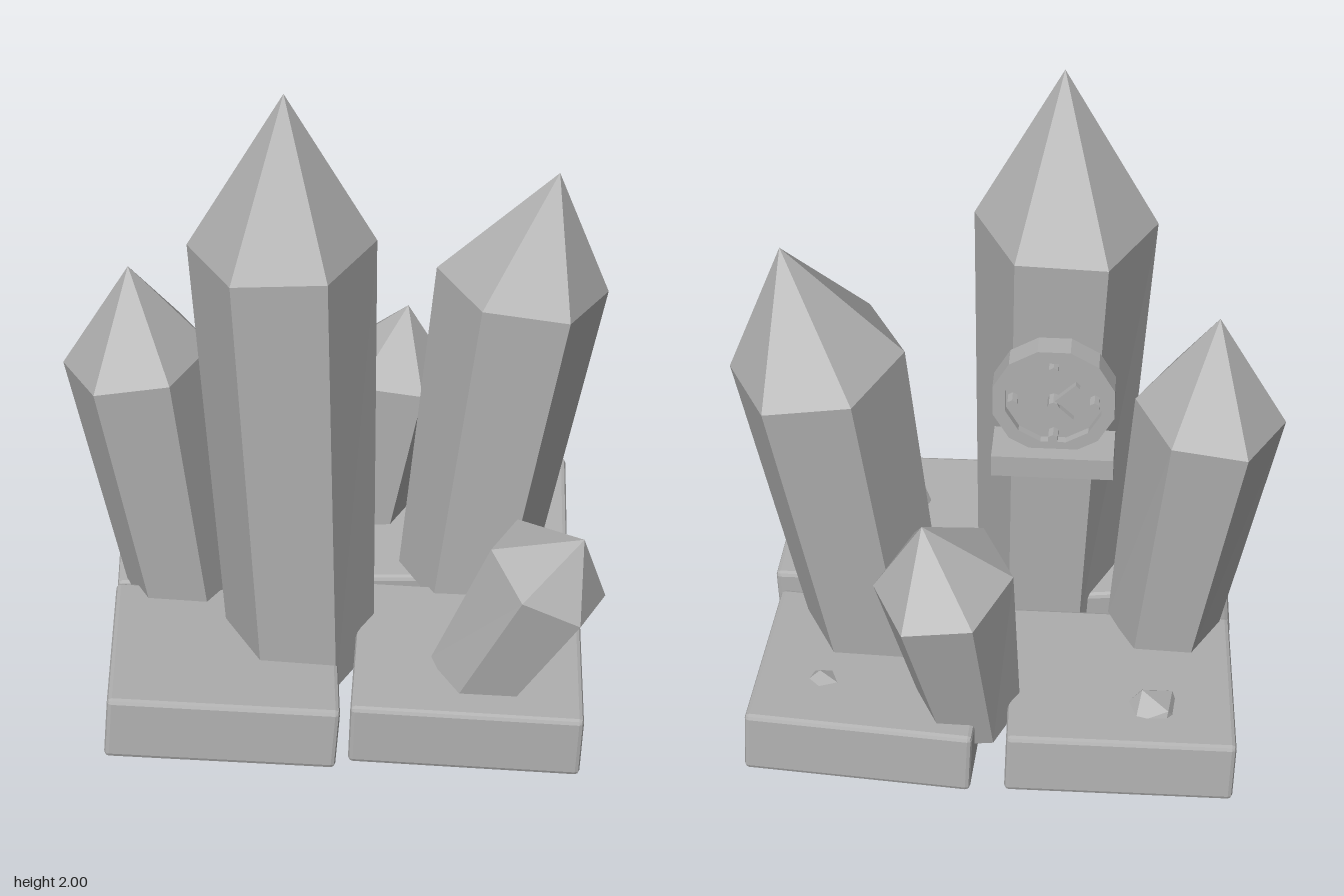
import * as THREE from 'three';
import { RoundedBoxGeometry } from 'three/addons/geometries/RoundedBoxGeometry.js';

const stone = new THREE.MeshStandardMaterial({ color: 0xb0b0b0, flatShading: true });
stone.name = 'grey stone';

function add(parent, name, geometry, position = [0, 0, 0], rotation = [0, 0, 0]) {
  const mesh = new THREE.Mesh(geometry, stone);
  mesh.name = name;
  mesh.position.set(...position);
  mesh.rotation.set(...rotation);
  parent.add(mesh);
  return mesh;
}

// Six-sided shaft between two centres, closed by a pointed cap.
// Radii are [across, deep]; both rings stand square to the axis.
function crystalGeometry({ base, baseR, shoulder, shoulderR, tip }) {
  const a = new THREE.Vector3(...base), b = new THREE.Vector3(...shoulder), t = new THREE.Vector3(...tip);
  const axis = b.clone().sub(a).normalize();
  const u = new THREE.Vector3(1, 0, 0).addScaledVector(axis, -axis.x).normalize();
  const w = u.clone().cross(axis);
  const ring = (c, r) => Array.from({ length: 6 }, (_, k) => c.clone()
    .addScaledVector(u, Math.cos(k * Math.PI / 3) * r[0])
    .addScaledVector(w, Math.sin(k * Math.PI / 3) * r[1]));
  const low = ring(a, baseR), high = ring(b, shoulderR), points = [];
  for (let k = 0; k < 6; k++) {
    const n = (k + 1) % 6;
    points.push(low[k], high[k], low[n], high[k], high[n], low[n]);
    points.push(high[k], t, high[n], a, low[k], low[n]);
  }
  const geometry = new THREE.BufferGeometry().setFromPoints(points);
  geometry.computeVertexNormals();
  return geometry;
}

// Round dial on a small shelf, facing the back.
function createDial() {
  const dial = new THREE.Group();
  dial.name = 'dial';
  dial.position.set(-0.135, 1.106, 0);
  const sides = 12;

  const outline = new THREE.Shape(), hole = new THREE.Path();
  for (let k = 0; k < sides; k++) {
    const angle = (k + 0.5) * 2 * Math.PI / sides, c = Math.cos(angle), s = Math.sin(angle);
    outline[k ? 'lineTo' : 'moveTo'](0.185 * c, 0.185 * s);
    hole[k ? 'lineTo' : 'moveTo'](0.145 * c, 0.145 * s);
  }
  outline.closePath();
  hole.closePath();
  outline.holes.push(hole);
  add(dial, 'dialRim', new THREE.ExtrudeGeometry(outline, { depth: 0.075, bevelEnabled: false }), [0, 0, -0.15]);
  add(dial, 'dialFace', new THREE.CylinderGeometry(0.155, 0.155, 0.06, sides), [0, 0, -0.095], [Math.PI / 2, 0, 0]);

  // Studs and two hands
  for (let k = 0; k < 4; k++) {
    const angle = k * Math.PI / 2;
    add(dial, 'dialStud', new THREE.CylinderGeometry(0.016, 0.016, 0.045, 6),
      [0.12 * Math.cos(angle), 0.12 * Math.sin(angle), -0.143], [Math.PI / 2, 0, 0]);
  }
  add(dial, 'longHand', new THREE.BoxGeometry(0.018, 0.1, 0.02), [-0.035, 0.035, -0.155], [0, 0, 0.8]);
  add(dial, 'shortHand', new THREE.BoxGeometry(0.018, 0.08, 0.02), [-0.025, -0.025, -0.155], [0, 0, -0.8]);
  add(dial, 'dialHub', new THREE.CylinderGeometry(0.018, 0.018, 0.05, 8), [0, 0, -0.148], [Math.PI / 2, 0, 0]);
  add(dial, 'dialShelf', new THREE.BoxGeometry(0.36, 0.07, 0.15), [0, -0.2, -0.125]);
  return dial;
}

export function createModel() {
  const model = new THREE.Group();
  model.name = 'crystalCluster';

  // Four tilted paving slabs
  const slabs = [
    ['frontLeftSlab', [0.4, 0.148, 0.385], [0, -0.035, -0.035]],
    ['frontRightSlab', [-0.335, 0.145, 0.38], [-0.05, 0.04, -0.08]],
    ['backLeftSlab', [0.4, 0.147, -0.345], [0.06, -0.04, 0.04]],
    ['backRightSlab', [-0.355, 0.133, -0.345], [0.06, 0.04, 0.03]],
  ];
  for (const [name, position, rotation] of slabs) {
    add(model, name, new RoundedBoxGeometry(0.68, 0.2, 0.645, 1, 0.014), position, rotation);
  }

  // Leaning crystals
  const crystals = {
    tallCrystal: { base: [-0.103, 0.13, 0.225], baseR: [0.222, 0.245], shoulder: [-0.15, 1.525, 0.2], shoulderR: [0.27, 0.31], tip: [-0.14, 2, 0.23] },
    leftCrystal: { base: [0.405, 0.2, -0.1], baseR: [0.21, 0.235], shoulder: [0.555, 1.225, -0.14], shoulderR: [0.26, 0.292], tip: [0.65, 1.59, -0.12] },
    rightCrystal: { base: [-0.478, 0.2, -0.03], baseR: [0.173, 0.195], shoulder: [-0.595, 1.02, -0.035], shoulderR: [0.226, 0.26], tip: [-0.61, 1.33, -0.01] },
    backCrystal: { base: [0.085, 0.17, -0.445], baseR: [0.145, 0.165], shoulder: [0.163, 0.71, -0.505], shoulderR: [0.207, 0.245], tip: [0.22, 0.92, -0.52] },
    smallCrystal: { base: [0.42, 0.2, 0.44], baseR: [0.145, 0.18], shoulder: [0.625, 0.6, 0.487], shoulderR: [0.19, 0.215], tip: [0.72, 0.745, 0.53] },
  };
  for (const [name, spec] of Object.entries(crystals)) add(model, name, crystalGeometry(spec));

  // Half-sunk chips on the back slabs
  add(model, 'chip', new THREE.IcosahedronGeometry(0.1, 0), [-0.455, 0.19, -0.47], [0.3, 0.5, 0.2]);
  add(model, 'chip', new THREE.IcosahedronGeometry(0.08, 0), [0.54, 0.205, -0.44], [0.2, 0.9, 0.4]);

  model.add(createDial());
  return model;
}
